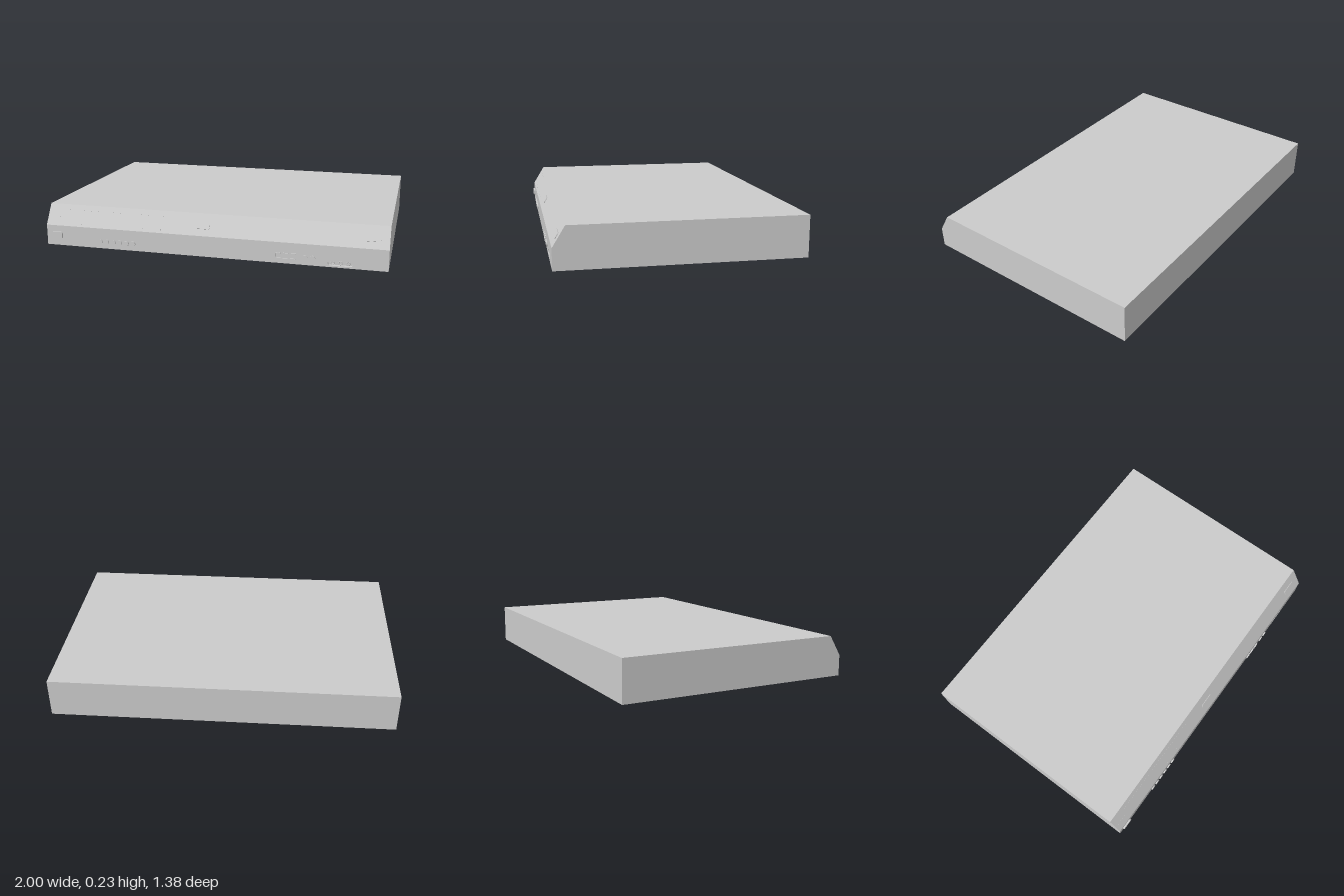
import * as THREE from 'three';

const grey = new THREE.MeshStandardMaterial({ color: 0xcccccc });

function add(parent, name, geometry, x = 0, y = 0, z = 0) {
  const mesh = new THREE.Mesh(geometry, grey);
  mesh.name = name;
  mesh.position.set(x, y, z);
  parent.add(mesh);
  return mesh;
}

// Rounded rectangle outline centred on (x, y)
function rounded(Type, w, h, r, x = 0, y = 0) {
  const s = new Type(), a = w / 2 - r, b = h / 2 - r;
  s.absarc(x + a, y + b, r, 0, Math.PI / 2);
  s.absarc(x - a, y + b, r, Math.PI / 2, Math.PI);
  s.absarc(x - a, y - b, r, Math.PI, Math.PI * 1.5);
  s.absarc(x + a, y - b, r, Math.PI * 1.5, Math.PI * 2);
  s.closePath();
  return s;
}

const extrude = (shape, depth) =>
  new THREE.ExtrudeGeometry(shape, { depth, bevelEnabled: false, curveSegments: 6 });
const key = (w, h, r, depth) => extrude(rounded(THREE.Shape, w, h, r), depth);

function disc(r, depth) {
  return new THREE.CylinderGeometry(r, r, depth, 20).rotateX(Math.PI / 2).translate(0, 0, depth / 2);
}

export function createModel() {
  const model = new THREE.Group();
  model.name = 'mediaPlayer';
  const H = 0.235, back = -0.69, front = 0.68, lip = 0.12, ridge = 0.61, inner = 0.66;

  // Casing: side profile (z, y) swept across the width
  const profile = new THREE.Shape([
    [back, 0], [inner, 0], [inner, lip], [front, lip], [ridge, H], [back, H],
  ].map(([z, y]) => new THREE.Vector2(-z, y)));
  add(model, 'casing', extrude(profile, 2).translate(0, 0, -1).rotateY(Math.PI / 2));

  // Vertical front panel with a recess for the sockets
  const panel = new THREE.Shape([
    new THREE.Vector2(-1, 0), new THREE.Vector2(1, 0),
    new THREE.Vector2(1, lip), new THREE.Vector2(-1, lip),
  ]);
  panel.holes.push(rounded(THREE.Path, 0.135, 0.028, 0.013, 0.742, 0.023));
  add(model, 'frontPanel', extrude(panel, front - inner), 0, 0, inner);

  // Sockets inside the recess
  for (const x of [0.70, 0.742, 0.784]) {
    add(model, 'socket', new THREE.TorusGeometry(0.009, 0.003, 8, 20), x, 0.023, inner + 0.008);
  }

  // Power key and round keys
  add(model, 'powerKey', key(0.07, 0.04, 0.011, 0.01), -0.935, 0.062, front);
  const xs = [0.548, 0.59];
  for (let i = 0; i < 6; i++) xs.push(-0.662 + i * 0.041);
  for (const x of xs) add(model, 'roundKey', disc(0.016, 0.007), x, 0.041, front);

  // Small port with a split frame
  for (const y of [0.029, 0.059]) {
    for (const x of [0.4, 0.442, 0.484]) {
      add(model, 'portFrame', new THREE.BoxGeometry(0.03, 0.004, 0.007), x, y, front + 0.0035);
    }
  }
  for (const x of [0.385, 0.499]) {
    add(model, 'portFrameSide', new THREE.BoxGeometry(0.004, 0.022, 0.007), x, 0.044, front + 0.0035);
  }

  // Sloping fascia: its local xy plane lies on the slope
  const fascia = new THREE.Group();
  fascia.name = 'fascia';
  fascia.position.set(0, (lip + H) / 2, (front + ridge) / 2);
  fascia.rotation.x = -Math.atan2(front - ridge, H - lip);
  model.add(fascia);
  for (const x of [-0.05, 0.905]) {
    add(fascia, 'fasciaKey', key(0.1, 0.036, 0.011, 0.004), x, -0.008, 0);
  }
  add(fascia, 'fasciaMark', new THREE.BoxGeometry(0.08, 0.004, 0.001), -0.94, -0.012, 0);
  add(fascia, 'displayLine', new THREE.BoxGeometry(0.64, 0.002, 0.001), -0.57, 0.034, 0);
  for (const x of [-0.78, -0.67, -0.5, -0.4, -0.29]) {
    add(fascia, 'indicator', disc(0.004, 0.001), x, -0.047, 0);
  }
  return model;
}
